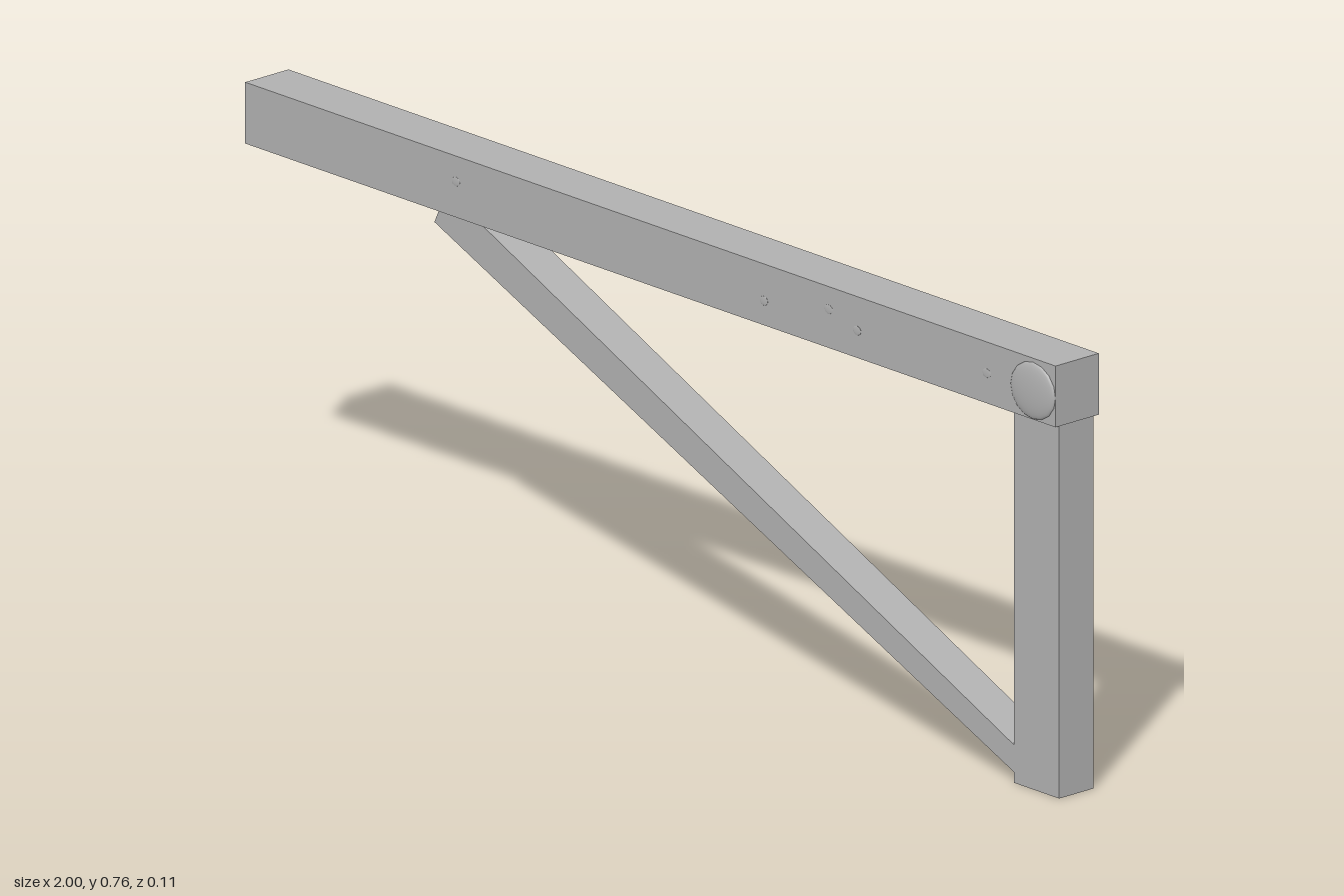
import * as THREE from 'three';

export function createModel() {
  const group = new THREE.Group();
  const timber = new THREE.MeshStandardMaterial({ color: 0xb0b0b0 });
  timber.name = 'grey timber';

  const add = (name, geometry) => {
    const mesh = new THREE.Mesh(geometry, timber);
    mesh.name = name;
    group.add(mesh);
    return mesh;
  };

  // Box given by its minimum and maximum corners
  const block = (name, [x0, y0, z0], [x1, y1, z1]) =>
    add(name, new THREE.BoxGeometry(x1 - x0, y1 - y0, z1 - z0))
      .position.set((x0 + x1) / 2, (y0 + y1) / 2, (z0 + z1) / 2);

  const beamFront = 0.045;
  block('beam', [-1, 0.657, -0.053], [1, 0.765, beamFront]);
  block('post', [0.886, 0, -0.043], [0.998, 0.657, 0.035]);

  // Diagonal brace, cut to fit under the beam and against the post
  const outline = [[-0.545, 0.63], [0.886, 0.018], [0.886, 0.066], [-0.435, 0.657], [-0.532, 0.657]];
  const brace = new THREE.Shape(outline.map(([x, y]) => new THREE.Vector2(x, y)));
  add('brace', new THREE.ExtrudeGeometry(brace, { depth: 0.076, bevelEnabled: false }))
    .position.z = -0.042;

  // Shallow swellings of the grain: one large knot over the post and small ones along the beam
  const knot = (name, x, y, rx, ry, height) => {
    const dome = new THREE.SphereGeometry(1, 16, 8, 0, Math.PI * 2, 0, Math.PI / 2);
    dome.rotateX(Math.PI / 2).scale(rx, ry, height);
    add(name, dome).position.set(x, y, beamFront);
  };
  knot('largeKnot', 0.945, 0.708, 0.055, 0.05, 0.009);
  const smallKnots = [[-0.48, 0.72], [0.28, 0.7], [0.44, 0.725], [0.51, 0.705], [0.83, 0.71]];
  for (const [x, y] of smallKnots) knot('smallKnot', x, y, 0.01, 0.008, 0.001);

  return group;
}
